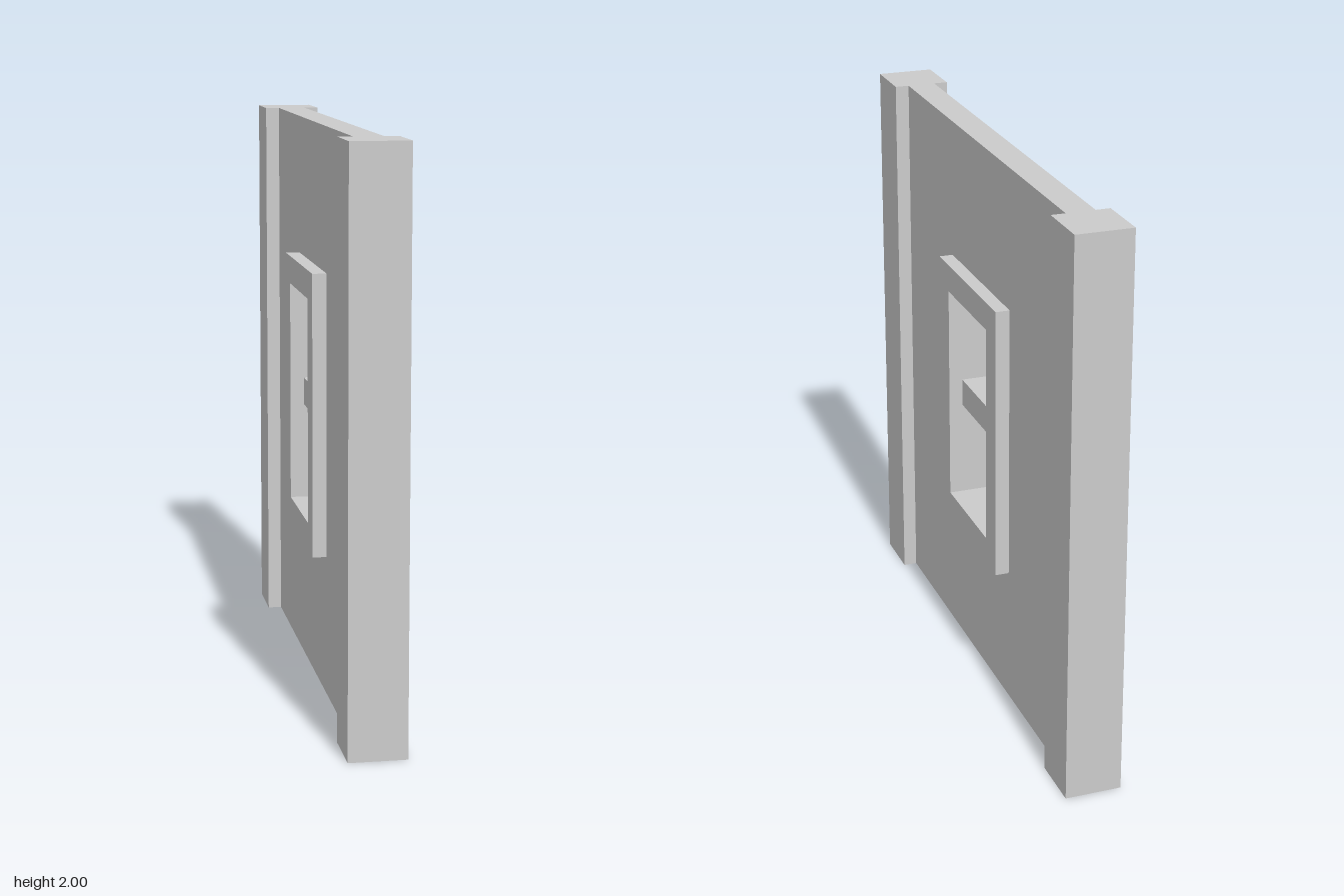
import * as THREE from 'three';

const material = new THREE.MeshStandardMaterial({ color: 0xcccccc, flatShading: true });

// Opening shared by the wall and its trims
const OPENING = { w: 0.4, y0: 0.6, y1: 1.4 };

function rectangle(path, w, y0, y1) {
  path.moveTo(-w / 2, y0);
  path.lineTo(w / 2, y0);
  path.lineTo(w / 2, y1);
  path.lineTo(-w / 2, y1);
  path.closePath();
  return path;
}

// Upright slab in the z-y plane with the window opening cut out
function slabWithOpening(name, w, y0, y1, thickness, x) {
  const shape = rectangle(new THREE.Shape(), w, y0, y1);
  shape.holes.push(rectangle(new THREE.Path(), OPENING.w, OPENING.y0, OPENING.y1));
  const geometry = new THREE.ExtrudeGeometry(shape, { depth: thickness, bevelEnabled: false });
  geometry.translate(0, 0, -thickness / 2).rotateY(Math.PI / 2);
  const mesh = new THREE.Mesh(geometry, material);
  mesh.name = name;
  mesh.position.x = x;
  return mesh;
}

function box(name, sx, sy, sz, y, z) {
  const mesh = new THREE.Mesh(new THREE.BoxGeometry(sx, sy, sz), material);
  mesh.name = name;
  mesh.position.set(0, y, z);
  return mesh;
}

export function createModel() {
  const group = new THREE.Group();
  group.name = 'windowWall';

  // Wall panel between the posts
  group.add(slabWithOpening('wallPanel', 1.6, 0, 2, 0.1, 0));

  // Window trim standing proud on both faces
  group.add(slabWithOpening('leftWindowTrim', 0.6, 0.5, 1.5, 0.05, 0.075));
  group.add(slabWithOpening('rightWindowTrim', 0.6, 0.5, 1.5, 0.05, -0.075));

  // Crossbar across the opening
  group.add(box('windowCrossbar', 0.1, 0.1, OPENING.w, 1, 0));

  // End posts
  group.add(box('frontPost', 0.2, 2, 0.2, 1, 0.9));
  group.add(box('backPost', 0.2, 2, 0.2, 1, -0.9));

  return group;
}
